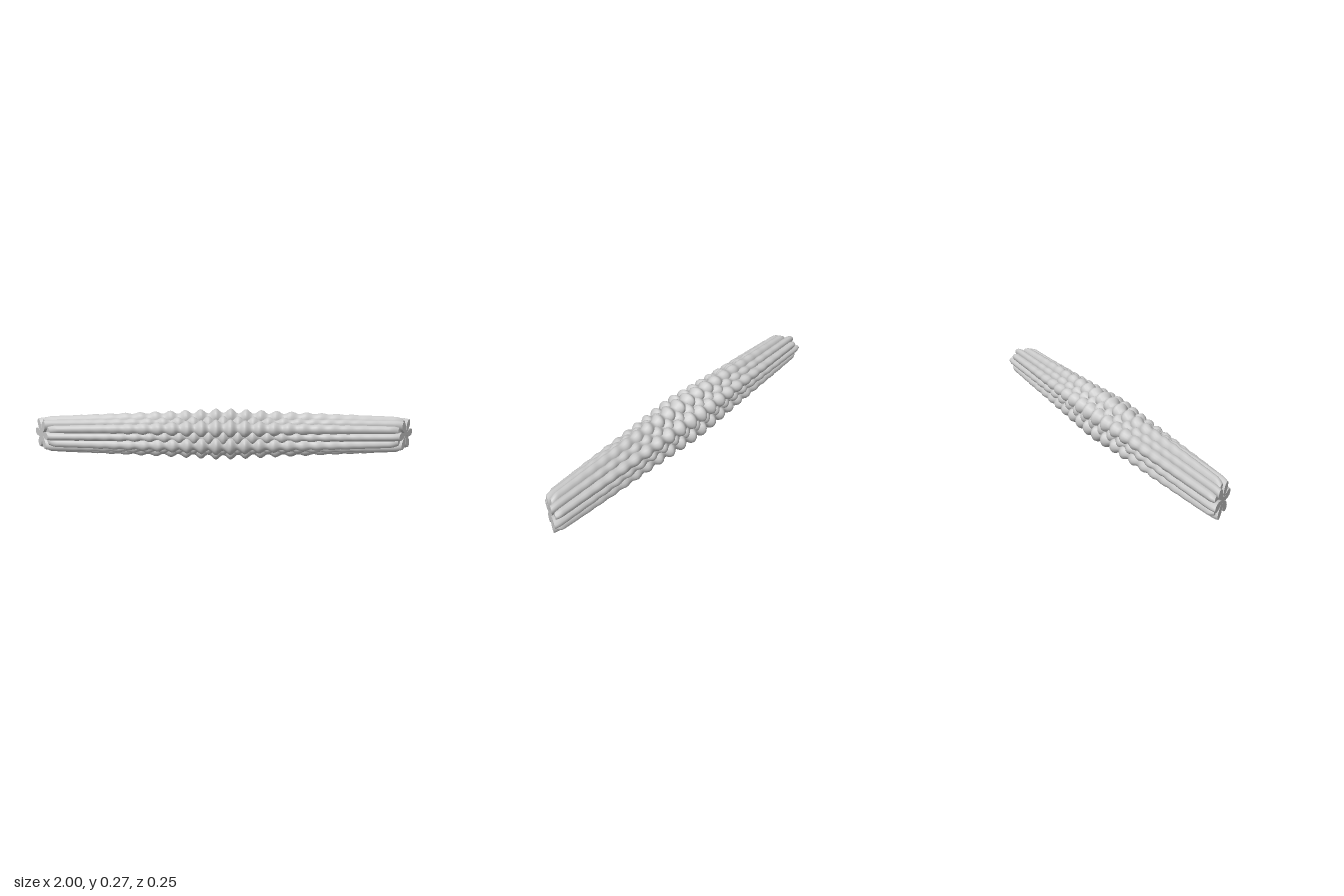
import * as THREE from 'three';

const AXIS_Y = 0.138, HALF = 0.95, MITRE = 0.6, PERIOD = 0.08;
const NX = 240, NA = 14;

// Two families of six lobes: wide outer beads and narrower ones between them
const OUTER = { start: Math.PI / 6, mid: 0.137, end: 0.092, tip: 0.076, sign: -1, reach: 0.985 };
const INNER = { start: 0, mid: 0.113, end: 0.09, tip: 0.083, sign: 1, reach: 1 };

// Tip radius and fullness of a lobe at t (-1..1) along the bar
function lobeSection(t, f) {
  const a = Math.abs(t);
  const fade = Math.exp(-((t * HALF / 0.45) ** 2));
  const valley = 0.5 - 0.5 * f.sign * Math.cos(2 * Math.PI * t * HALF / PERIOD);
  let radius = THREE.MathUtils.lerp(f.mid, f.end, a) - 0.024 * valley * fade;
  // rounded shoulder next to the mitred end
  const k = Math.max(0, (a - 0.955) / 0.045);
  radius -= (f.end - f.tip) * k * k;
  const power = THREE.MathUtils.lerp(0.5, 0.14, fade) + 0.22 * valley * fade;
  return { radius, power };
}

// One lobe: petal sections swept along x, with both ends cut at the mitre
function lobeGeometry(angle, f) {
  const pos = [], index = [];
  const addPoint = (t, r, th) => {
    const z = r * Math.cos(th);
    pos.push(t * f.reach * (HALF - MITRE * z), AXIS_Y + r * Math.sin(th), z);
  };
  const addSection = (t) => {
    const { radius, power } = lobeSection(t, f);
    for (let j = 0; j <= NA; j++) {
      const phi = Math.sin((j / NA - 0.5) * Math.PI) * Math.PI / 2;
      const r = radius * Math.pow(Math.max(0, Math.cos(phi)), power);
      addPoint(t, r, angle + phi / 3);
    }
  };
  for (let i = 0; i <= NX; i++) addSection(2 * i / NX - 1);
  const row = NA + 1;
  for (let i = 0; i < NX; i++) {
    for (let j = 0; j < NA; j++) {
      const a = i * row + j, b = a + row;
      index.push(a, b, a + 1, b, b + 1, a + 1);
    }
  }
  // flat petal-shaped ends
  for (const t of [-1, 1]) {
    const c = pos.length / 3;
    addPoint(t, 0, angle);
    addSection(t);
    for (let j = 1; j <= NA; j++) {
      if (t > 0) index.push(c, c + j + 1, c + j);
      else index.push(c, c + j, c + j + 1);
    }
  }
  const g = new THREE.BufferGeometry();
  g.setAttribute('position', new THREE.Float32BufferAttribute(pos, 3));
  g.setIndex(index);
  g.computeVertexNormals();
  return g;
}

export function createModel() {
  const model = new THREE.Group();
  model.name = 'beadedMitredBar';
  const material = new THREE.MeshStandardMaterial({ color: 0xcccccc });
  for (const [name, family] of [['outerLobe', OUTER], ['innerLobe', INNER]]) {
    const group = new THREE.Group();
    group.name = name + 's';
    for (let k = 0; k < 6; k++) {
      const mesh = new THREE.Mesh(lobeGeometry(family.start + k * Math.PI / 3, family), material);
      mesh.name = name + (k + 1);
      group.add(mesh);
    }
    model.add(group);
  }
  return model;
}
